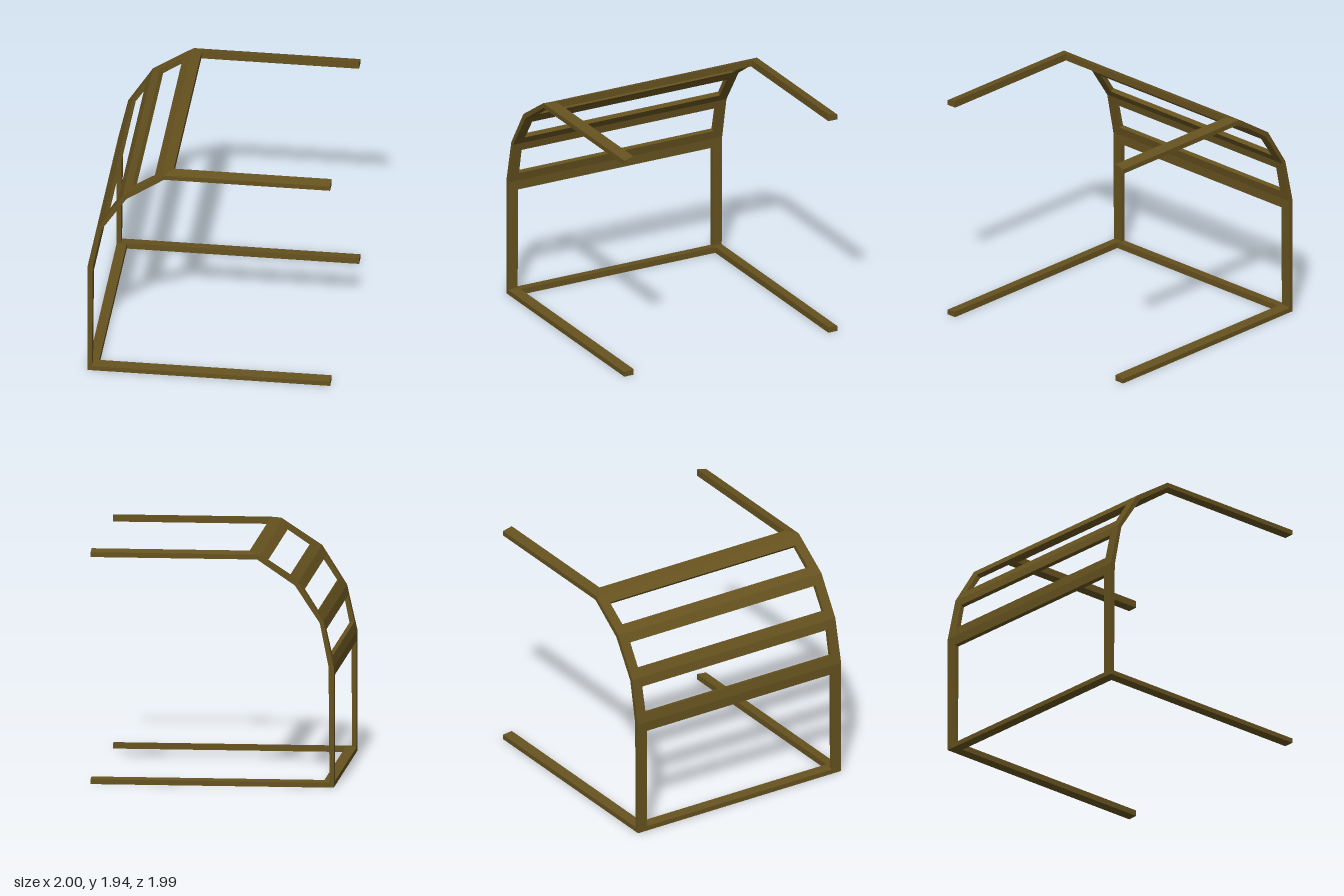
import * as THREE from 'three';

const material = new THREE.MeshStandardMaterial({ color: 0x66521f, flatShading: true });
const INNER = 0.91, OUTER = 0.997;

// Prism with an x/y profile, running from z0 to z1
function prism(points, z0, z1) {
  const shape = new THREE.Shape(points.map(([x, y]) => new THREE.Vector2(x, y)));
  const geo = new THREE.ExtrudeGeometry(shape, { depth: z1 - z0, bevelEnabled: false });
  return geo.translate(0, 0, z0);
}

function add(group, name, geo) {
  geo.computeVertexNormals();
  const mesh = new THREE.Mesh(geo, material);
  mesh.name = name;
  group.add(mesh);
}

// One continuous side frame: bottom rail, post, bent arch and top rail
const sideProfile = [
  [-1, 0], [1, 0], [1, 0.05], [-0.965, 0.05], [-0.957, 1], [-0.885, 1.36],
  [-0.68, 1.67], [-0.37, 1.88], [1, 1.88], [1, 1.94], [-0.3, 1.94],
  [-0.39, 1.91], [-0.71, 1.7], [-0.915, 1.375], [-1, 1],
];

// The rails' upper faces slope down slightly towards the outside
function slopeRails(geo) {
  const p = geo.attributes.position;
  for (let i = 0; i < p.count; i++) {
    if (Math.abs(p.getZ(i)) < 0.95) continue;
    const y = p.getY(i);
    if (y > 1.93) {
      p.setY(i, 1.92);
      if (p.getX(i) < 0) p.setX(i, -0.375);
    } else if (y > 0.04 && y < 0.06) p.setY(i, 0.04);
  }
  return geo;
}

// Bent plates that span the frames at each arch joint
const plates = {
  shoulderPlate: [[-1, 0.92], [-0.957, 0.92], [-0.957, 1], [-0.942, 1.072], [-0.983, 1.08], [-1, 1]],
  lowerArchPlate: [[-0.933, 1.3], [-0.898, 1.293], [-0.885, 1.36], [-0.842, 1.425], [-0.868, 1.45], [-0.915, 1.375]],
  upperArchPlate: [[-0.755, 1.63], [-0.72, 1.61], [-0.68, 1.67], [-0.615, 1.715], [-0.64, 1.748], [-0.71, 1.7]],
  roofPlate: [[-0.455, 1.868], [-0.43, 1.84], [-0.37, 1.88], [-0.3, 1.885], [-0.3, 1.94], [-0.39, 1.91]],
  bottomCrossbar: [[-1, 0], [-0.915, 0], [-0.915, 0.05], [-1, 0.04]],
};

export function createModel() {
  const group = new THREE.Group();
  group.name = 'archedFrame';
  add(group, 'leftEndFrame', slopeRails(prism(sideProfile, INNER, OUTER)));
  add(group, 'rightEndFrame', slopeRails(prism(sideProfile, -OUTER, -INNER)));
  for (const [name, profile] of Object.entries(plates)) add(group, name, prism(profile, -INNER, INNER));
  return group;
}
